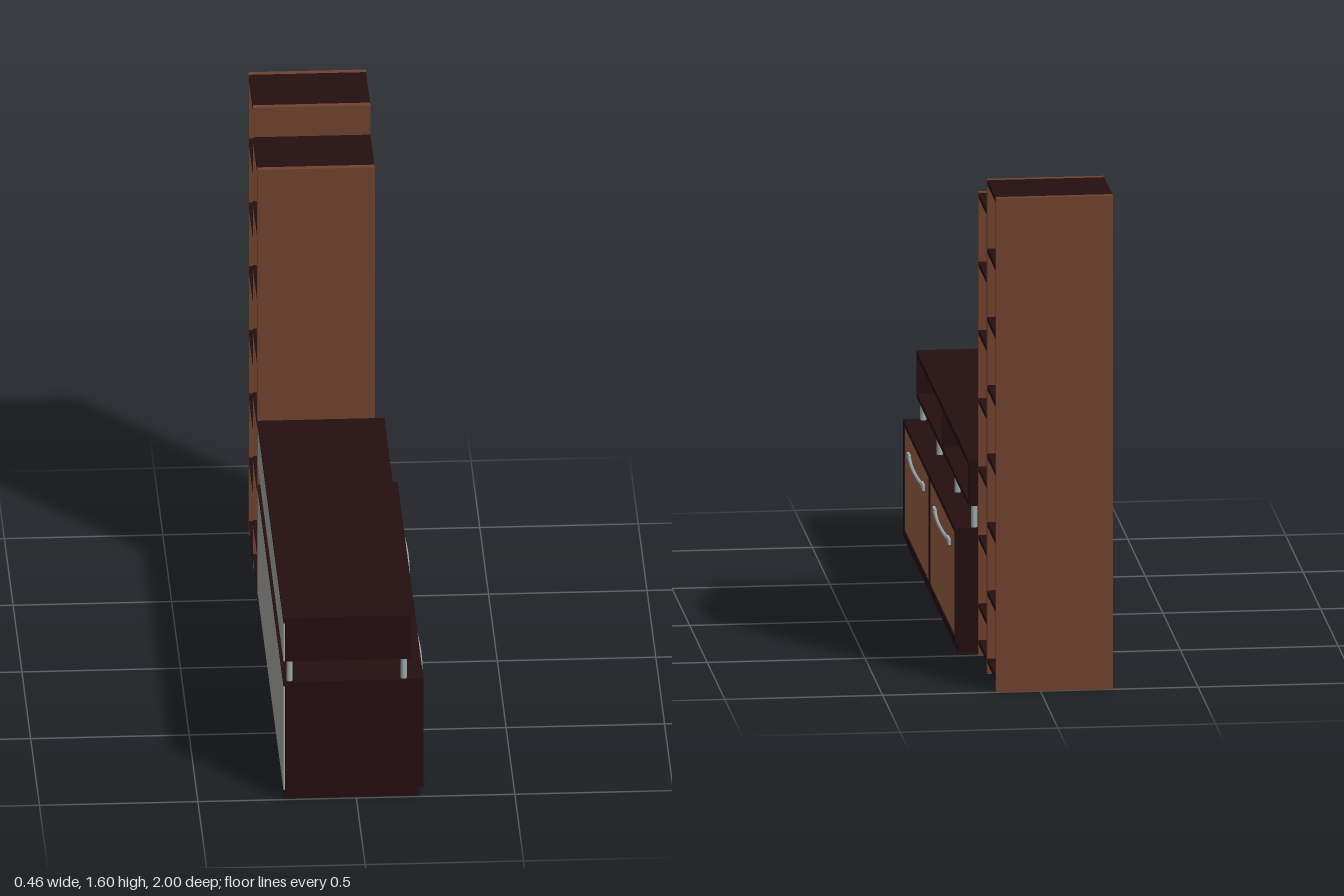
import * as THREE from 'three';

const mat = (name, color) => {
  const m = new THREE.MeshStandardMaterial({ color });
  m.name = name;
  return m;
};

export function createModel() {
  const dark = mat('darkWood', 0x240e10);
  const brown = mat('brownWood', 0x70422f);
  const orange = mat('doorWood', 0x975f42);
  const grey = mat('backGrey', 0xa6a6a3);
  const metal = mat('metal', 0x9aa8ac);

  const root = new THREE.Group();
  root.name = 'mediaCabinetWithShelves';
  const group = (name) => {
    const g = new THREE.Group();
    g.name = name;
    root.add(g);
    return g;
  };
  // board given by its extents on each axis
  const board = (parent, name, m, [x0, x1], [y0, y1], [z0, z1]) => {
    const mesh = new THREE.Mesh(new THREE.BoxGeometry(x1 - x0, y1 - y0, z1 - z0), m);
    mesh.position.set((x0 + x1) / 2, (y0 + y1) / 2, (z0 + z1) / 2);
    mesh.name = name;
    parent.add(mesh);
  };

  const BACK = -0.23, INNER = -0.225, END0 = -0.48, END1 = 1, T = 0.018;

  // Shelf towers, open on both faces
  const towers = group('shelfTowers');
  const depth = [BACK, 0.14];
  board(towers, 'nearPanel', brown, depth, [0, 1.5], [-0.502, -0.482]);
  board(towers, 'middlePanel', brown, depth, [0, 1.6], [-0.752, -0.732]);
  board(towers, 'farPanel', brown, depth, [0, 1.6], [-1, -0.98]);
  const shelves = (zs, top, count) => {
    const heights = [0.042];
    for (let i = 0; i < count; i++) heights.push(top - i * 0.2215);
    heights.forEach((y) => board(towers, 'shelf', dark, depth, [y - 0.008, y + 0.008], zs));
  };
  shelves([-0.732, -0.502], 1.49, 7);
  shelves([-0.98, -0.752], 1.592, 7);

  // Lower cabinet carcass
  const cabinet = group('lowerCabinet');
  const cx = [INNER, 0.212];
  board(cabinet, 'bottomBoard', dark, cx, [0.033, 0.053], [END0, END1]);
  board(cabinet, 'topBoard', dark, [BACK, 0.212], [0.392, 0.408], [END0, END1]);
  board(cabinet, 'leftEnd', dark, cx, [0.053, 0.392], [END1 - T, END1]);
  board(cabinet, 'rightEnd', dark, cx, [0.053, 0.392], [END0, END0 + T]);
  board(cabinet, 'divider', dark, cx, [0.053, 0.392], [0.25, 0.275]);
  board(cabinet, 'backPanel', grey, [BACK, INNER], [0.033, 0.392], [END0, END1]);

  // Plinth, open at the back
  board(cabinet, 'plinthFront', dark, [0.182, 0.2], [0, 0.033], [-0.472, 0.992]);
  for (const z of [-0.472, 0.974])
    board(cabinet, 'plinthEnd', dark, [BACK, 0.182], [0, 0.033], [z, z + T]);

  // Doors with bowed handles
  const doors = group('doors');
  const addDoor = (z0, z1, hz) => {
    board(doors, 'door', orange, [0.19, 0.209], [0.055, 0.39], [z0, z1]);
    const curve = new THREE.QuadraticBezierCurve3(
      new THREE.Vector3(0.212, 0.328, hz - 0.2),
      new THREE.Vector3(0.229, 0.328, hz),
      new THREE.Vector3(0.212, 0.328, hz + 0.2));
    const bar = new THREE.Mesh(new THREE.TubeGeometry(curve, 16, 0.0055, 8), metal);
    bar.name = 'handleBar';
    doors.add(bar);
    for (const s of [-1, 1]) {
      const c = hz + s * 0.198;
      board(doors, 'handleEnd', metal, [0.208, 0.217], [0.319, 0.337], [c - 0.028, c + 0.028]);
    }
  };
  addDoor(0.277, 0.98, 0.627);
  addDoor(-0.46, 0.248, -0.104);

  // Metal posts carrying the upper unit
  const posts = group('posts');
  const postGeo = new THREE.CylinderGeometry(0.01, 0.01, 0.074, 16);
  for (const x of [-0.21, 0.15])
    for (const z of [0.985, 0.517, 0.008, -0.463]) {
      const post = new THREE.Mesh(postGeo, metal);
      post.position.set(x, 0.444, z);
      post.name = 'post';
      posts.add(post);
    }

  // Raised open compartment
  const upper = group('upperShelf');
  const ux = [INNER, 0.17];
  board(upper, 'bottomBoard', dark, ux, [0.479, 0.495], [END0, END1]);
  board(upper, 'topBoard', dark, [BACK, 0.17], [0.612, 0.63], [END0, END1]);
  board(upper, 'leftEnd', dark, ux, [0.495, 0.612], [END1 - T, END1]);
  board(upper, 'rightEnd', dark, ux, [0.495, 0.612], [END0, END0 + T]);
  board(upper, 'divider', dark, ux, [0.495, 0.612], [0.25, 0.275]);
  board(upper, 'backPanel', grey, [BACK, INNER], [0.479, 0.612], [END0, END1]);

  return root;
}
